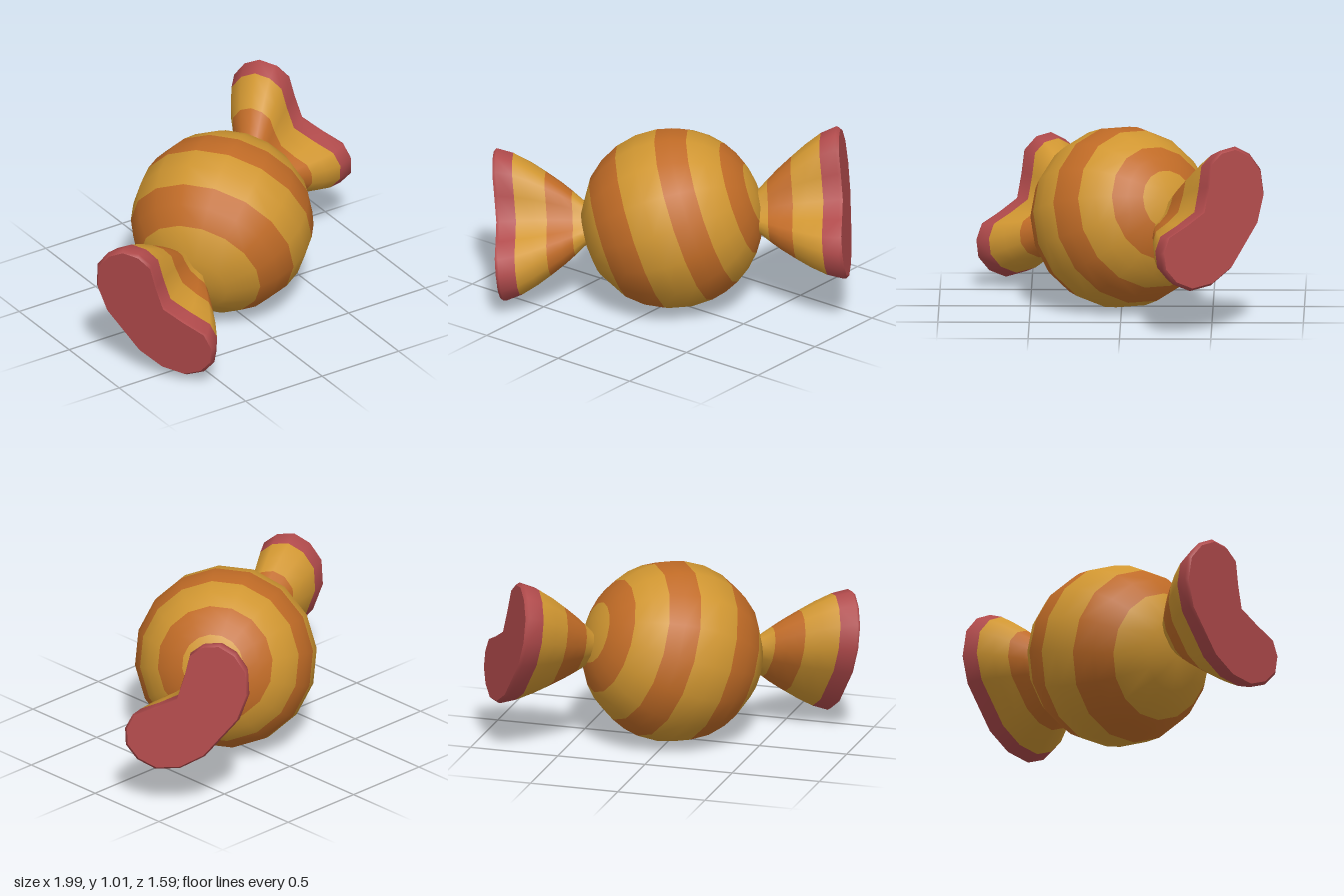
import * as THREE from 'three';

const gold = new THREE.MeshStandardMaterial({ color: 0xd09631 });
gold.name = 'gold wrapper';
const orange = new THREE.MeshStandardMaterial({ color: 0xc06b26 });
orange.name = 'orange stripe';
const red = new THREE.MeshStandardMaterial({ color: 0xb04a4b });
red.name = 'red trim';

const R = 0.5;

// Striped ball: sphere slices between planes at the given heights along the stripe axis
function makeBall() {
  const ball = new THREE.Group();
  ball.name = 'candyBall';
  const edges = [R, 0.47, 0.385, 0.235, 0.07, -0.165, -0.36, -R];
  for (let i = 0; i < edges.length - 1; i++) {
    const a = Math.acos(edges[i] / R);
    const b = Math.acos(edges[i + 1] / R);
    const rows = Math.max(1, Math.round((b - a) / 0.36));
    const slice = new THREE.Mesh(
      new THREE.SphereGeometry(R, 16, rows, 0, Math.PI * 2, a, b - a),
      i % 2 ? orange : gold
    );
    slice.name = i % 2 ? 'orangeStripe' : 'goldStripe';
    ball.add(slice);
  }
  const stripeAxis = new THREE.Vector3(0.76, 0.33, -0.56).normalize();
  ball.quaternion.setFromUnitVectors(new THREE.Vector3(0, 1, 0), stripeAxis);
  ball.position.y = R;
  return ball;
}

// Kidney outline of a wrapper tail, counter-clockwise
const half = [[0.15, -0.23], [0.3, -0.175], [0.4, -0.08], [0.43, 0.03],
  [0.41, 0.13], [0.34, 0.195], [0.25, 0.215], [0.13, 0.155]];
const outline = [...half, [0, 0.1], ...half.map(([u, v]) => [-u, v]).reverse()];

// Sections along the tail: distance, scale, roundness, colour index of the next strip
const sections = [
  [0.42, 0.22, 0.6, 0], [0.48, 0.29, 0.5, 0], [0.54, 0.42, 0.4, 1], [0.6, 0.54, 0.3, 1],
  [0.68, 0.68, 0.2, 0], [0.76, 0.81, 0.1, 0], [0.85, 0.93, 0, 2], [0.94, 1, 0, 2], [0.958, 0.96, 0, 2],
];

function ring(scale, round) {
  return outline.map(([u, v]) => {
    const a = Math.atan2(v / 0.22, u / 0.43);
    return new THREE.Vector2(
      scale * THREE.MathUtils.lerp(u, 0.43 * Math.cos(a), round) + 0.015 * scale,
      scale * THREE.MathUtils.lerp(v, 0.24 * Math.sin(a), round)
    );
  });
}

function surface(points, index) {
  const g = new THREE.BufferGeometry();
  g.setAttribute('position', new THREE.Float32BufferAttribute(points, 3));
  g.setIndex(index);
  g.computeVertexNormals();
  return g;
}

// Wrapper tail; side = 1 or -1 mirrors it along the candy axis
function makeTail(side, name) {
  const tail = new THREE.Group();
  tail.name = name;
  const n = outline.length;
  const tri = (a, b, c) => (side > 0 ? [a, b, c] : [a, c, b]);
  const points = [], index = [];
  sections.forEach(([t, scale, round], i) => {
    for (const p of ring(scale, round)) points.push(side * t, p.x, p.y);
    if (i === sections.length - 1) return;
    for (let j = 0; j < n; j++) {
      const k = (j + 1) % n;
      const a = i * n + j, b = i * n + k;
      index.push(...tri(a, b, a + n), ...tri(b, b + n, a + n));
    }
  });
  const skin = surface(points, index);
  for (let i = 0; i < sections.length - 1; i++) skin.addGroup(i * n * 6, n * 6, sections[i][3]);
  const wrap = new THREE.Mesh(skin, [gold, orange, red]);
  wrap.name = 'tailWrap';

  // Flat end of the tail
  const [t, scale, round] = sections[sections.length - 1];
  const rim = ring(scale, round);
  const faces = THREE.ShapeUtils.triangulateShape(rim, []);
  const end = new THREE.Mesh(
    surface(rim.flatMap((p) => [side * t, p.x, p.y]), faces.flatMap(([a, b, c]) => tri(a, b, c))),
    red
  );
  end.name = 'tailEnd';
  tail.add(wrap, end);
  return tail;
}

export function createModel() {
  const model = new THREE.Group();
  model.name = 'wrappedCandy';
  model.add(makeBall());

  // Tails share one tilted frame: x along the candy, y along the kidney, z to its hollow side
  const tails = new THREE.Group();
  tails.name = 'tails';
  const x = new THREE.Vector3(0.83, 0.11, -0.545).normalize();
  const z = new THREE.Vector3().crossVectors(x, new THREE.Vector3(-0.42, 0.77, -0.474)).normalize();
  const y = new THREE.Vector3().crossVectors(z, x);
  tails.quaternion.setFromRotationMatrix(new THREE.Matrix4().makeBasis(x, y, z));
  tails.position.y = R;
  tails.add(makeTail(1, 'leftTail'), makeTail(-1, 'rightTail'));
  model.add(tails);
  return model;
}
